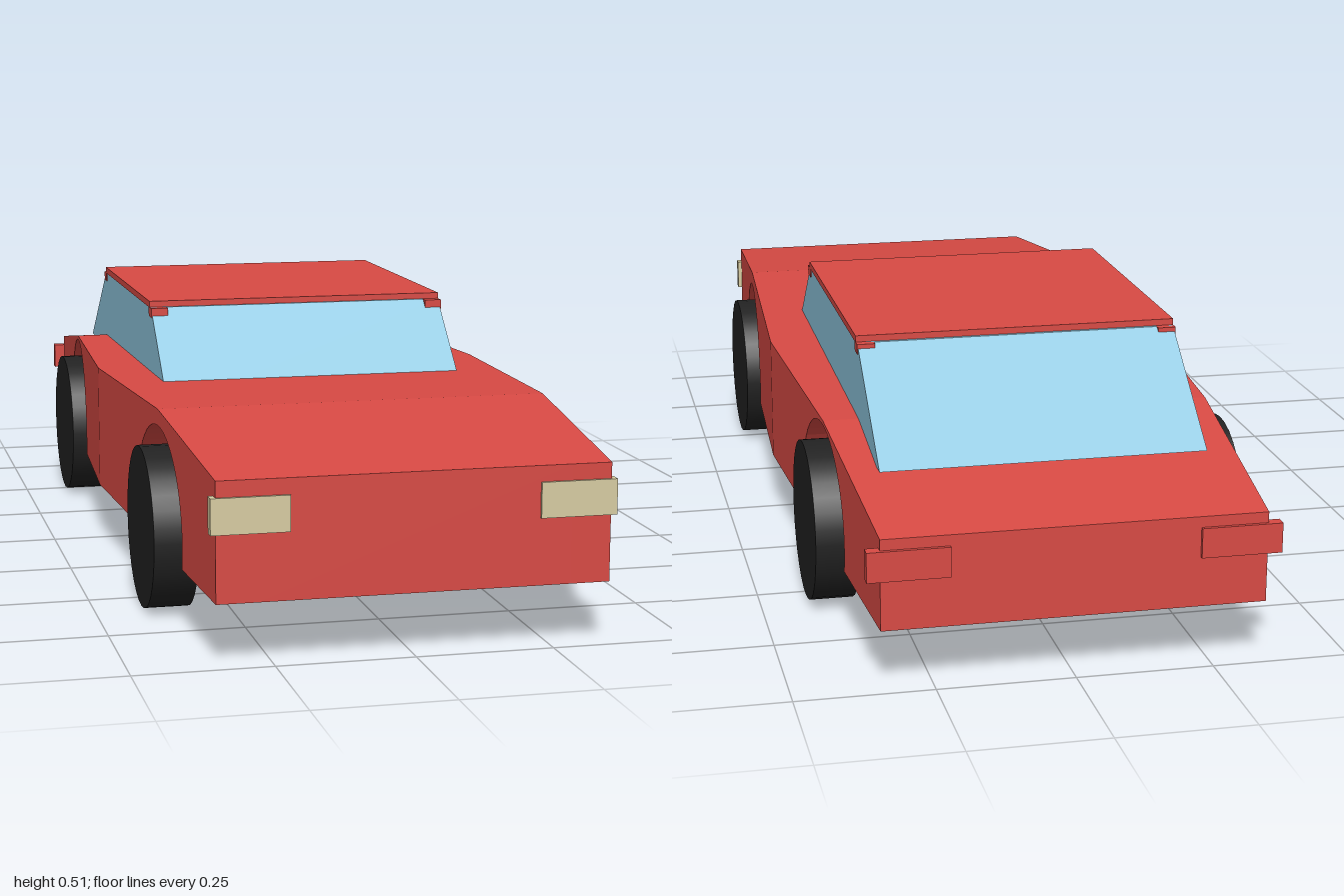
import * as THREE from 'three';

const paint = new THREE.MeshStandardMaterial({ name: 'redPaint', color: 0xd84a44 });
const glass = new THREE.MeshStandardMaterial({ name: 'blueGlass', color: 0x90c8e0 });
const rubber = new THREE.MeshStandardMaterial({ name: 'blackRubber', color: 0x222222 });
const lamp = new THREE.MeshStandardMaterial({ name: 'creamLamp', color: 0xd7cca2 });

const FLOOR = 0.113, WELL = 0.28, AXLE_Y = 0.152;
const AXLES = { front: 0.56, rear: -0.515 };

// Half width of the body: widest amidships, tapering to both ends
const halfWidth = (z) => 0.403 - (z > 0 ? 0.051 : 0.058) * Math.abs(z);

// Solid from a [z, y] side profile, filling x from lo(z) to hi(z)
function slab(profile, lo, hi) {
  const shape = new THREE.Shape(profile.map(([z, y]) => new THREE.Vector2(z, y)));
  const geo = new THREE.ExtrudeGeometry(shape, { depth: 1, steps: 1, bevelEnabled: false });
  const p = geo.attributes.position;
  for (let i = 0; i < p.count; i++) {
    const z = p.getX(i), y = p.getY(i), t = p.getZ(i);
    p.setXYZ(i, THREE.MathUtils.lerp(hi(z), lo(z), t), y, z);
  }
  geo.computeVertexNormals();
  return geo;
}

// Points over a wheel arch, from low z to high z
function arch(zc) {
  const r = 0.19, start = Math.asin((FLOOR - AXLE_Y) / r), n = 28;
  return Array.from({ length: n + 1 }, (_, i) => {
    const a = Math.PI - start - (i / n) * (Math.PI - 2 * start);
    return [zc + r * Math.cos(a), AXLE_Y + r * Math.sin(a)];
  });
}

export function createModel() {
  const car = new THREE.Group();
  car.name = 'car';

  const add = (name, geo, mat) => {
    const mesh = new THREE.Mesh(geo, mat);
    mesh.name = name;
    car.add(mesh);
    return mesh;
  };
  // Box given by its minimum and maximum corners
  const box = (name, mat, [x0, y0, z0], [x1, y1, z1]) =>
    add(name, new THREE.BoxGeometry(x1 - x0, y1 - y0, z1 - z0), mat)
      .position.set((x0 + x1) / 2, (y0 + y1) / 2, (z0 + z1) / 2);

  // Body core between the wheel wells
  const nose = [[0.995, FLOOR], [0.995, 0.327], [AXLES.front, 0.373]];
  const tail = [[-0.53, 0.35], [-0.993, 0.28], [-0.993, FLOOR]];
  add('bodyCore', slab([...nose, [0, 0.361], ...tail], () => -WELL, () => WELL), paint);

  // Outer flanks with wheel arches cut out
  const flanks = {
    front: [[0, FLOOR], ...arch(AXLES.front), ...nose, [0, 0.361]],
    rear: [...arch(AXLES.rear), [0, FLOOR], [0, 0.361], ...tail],
  };
  for (const [end, profile] of Object.entries(flanks)) {
    add(end + 'LeftFlank', slab(profile, () => WELL, halfWidth), paint);
    add(end + 'RightFlank', slab(profile, (z) => -halfWidth(z), () => -WELL), paint);
  }

  // Glass cabin and roof panel
  const cabin = [[0.277, 0.32], [0.085, 0.496], [-0.527, 0.496], [-0.76, 0.32]];
  add('cabinGlass', slab(cabin, () => -0.305, () => 0.305), glass);
  box('roof', paint, [-0.307, 0.495, -0.52], [0.307, 0.508, 0.08]);

  for (const [side, s] of [['Left', 1], ['Right', -1]]) {
    // Box on one side, x measured outward from the centre
    const sideBox = (name, mat, a, b, y0, y1, z0, z1) =>
      box(name + side, mat, [Math.min(s * a, s * b), y0, z0], [Math.max(s * a, s * b), y1, z1]);

    // Stubs under the roof corners
    sideBox('frontRoofStub', paint, 0.273, 0.307, 0.477, 0.496, 0.07, 0.102);
    sideBox('rearRoofStub', paint, 0.273, 0.307, 0.477, 0.496, -0.538, -0.51);

    // Lamps
    sideBox('headlight', lamp, 0.223, 0.362, 0.234, 0.298, 0.978, 1);
    sideBox('taillight', paint, 0.223, 0.37, 0.205, 0.26, -1, -0.978);

    // Wheels
    for (const [end, z] of Object.entries(AXLES)) {
      const geo = new THREE.CylinderGeometry(AXLE_Y, AXLE_Y, 0.082, 32).rotateZ(Math.PI / 2);
      add(end + 'Wheel' + side, geo, rubber).position.set(s * 0.368, AXLE_Y, z);
    }
  }
  return car;
}
